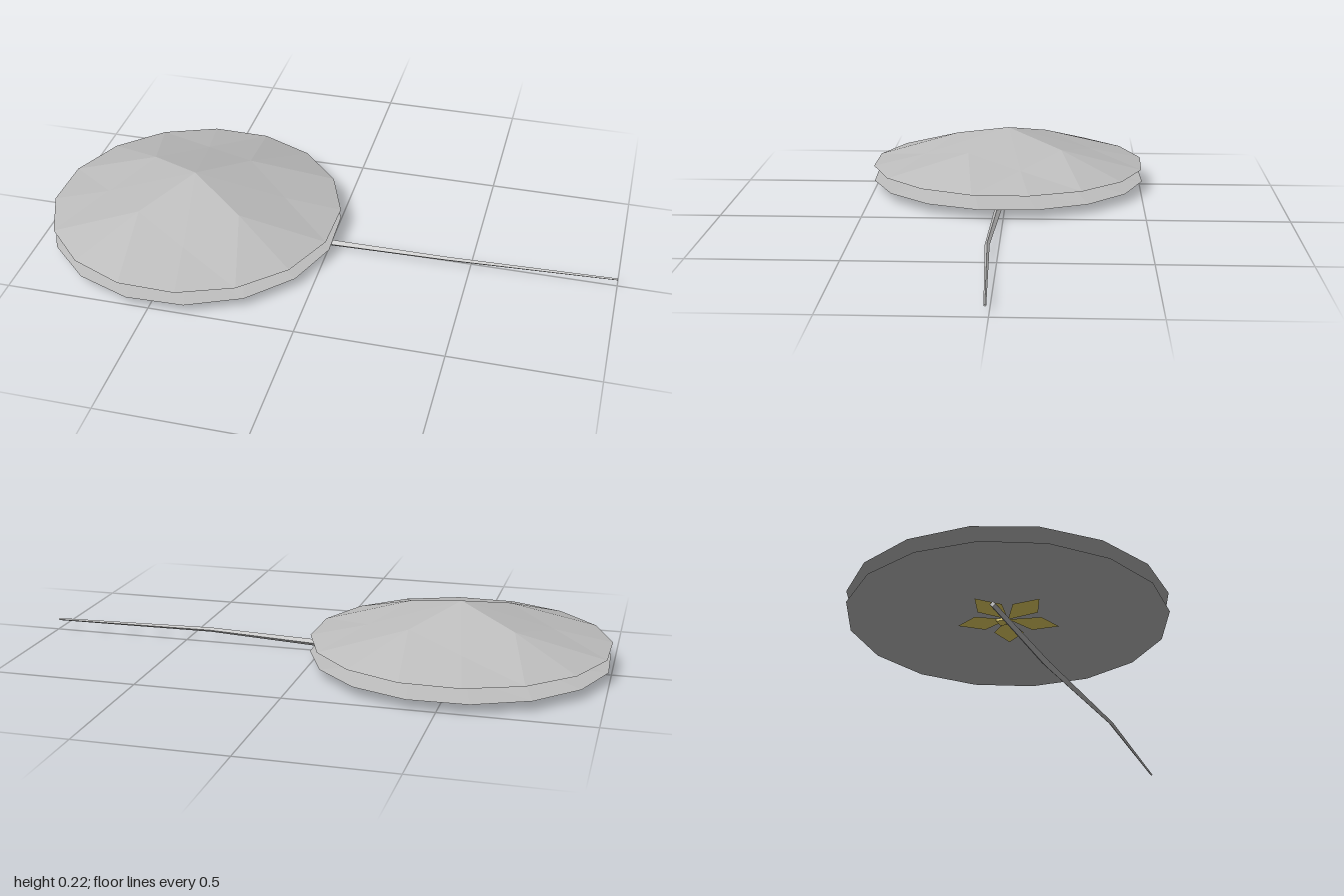
import * as THREE from 'three';

const CX = -0.49, R = 0.512;

function build(tris, material, name) {
  const g = new THREE.BufferGeometry();
  g.setAttribute('position', new THREE.Float32BufferAttribute(tris.flat(2), 3));
  g.computeVertexNormals(); // unshared corners give flat facets
  const m = new THREE.Mesh(g, material);
  m.name = name;
  return m;
}

// Shallow faceted canopy: four ridges, an inner ring of 8 and a rim of 16
function canopy(rimY, height, turn, material, name) {
  const at = (deg, r, h) => {
    const a = THREE.MathUtils.degToRad(deg + turn);
    return [CX + r * Math.cos(a), rimY + h * height, -r * Math.sin(a)];
  };
  const rim = d => at(d, R, 0);
  const ridge = d => at(d, 0.245, 0.6);
  const diag = d => at(d, 0.315, 0.31);
  const apex = at(0, 0, 1), tris = [];
  for (let d = 0; d < 360; d += 90) {
    const a = ridge(d), b = diag(d + 45), c = ridge(d + 90);
    const r = [0, 1, 2, 3, 4].map(i => rim(d + i * 22.5));
    tris.push([apex, a, b], [apex, b, c]);
    tris.push([a, r[0], r[1]], [a, r[1], b]);
    tris.push([b, r[1], r[2]], [b, r[2], r[3]]);
    tris.push([b, r[3], c], [c, r[3], r[4]]);
  }
  return build(tris, material, name);
}

// Five pointed petals, each folded along its middle
function flower(y, material, name) {
  const tris = [];
  for (let i = 0; i < 5; i++) {
    const a = THREE.MathUtils.degToRad(51 + 72 * i);
    const p = (along, side, dy) => [
      CX + along * Math.cos(a) - side * Math.sin(a), y + dy,
      along * Math.sin(a) + side * Math.cos(a)];
    const root = p(0, 0, 0.004), tip = p(0.17, 0, 0.006), mid = p(0.095, 0, -0.002);
    for (const s of [-1, 1]) {
      const edge = p(0.095, s * 0.048, 0.004);
      tris.push([root, mid, edge], [mid, tip, edge]);
    }
  }
  return build(tris, material, name);
}

// Slender bent stem, swept from square sections
function stem(material) {
  const path = [ // x, y, z, radius
    [-0.62, 0.032, 0.002, 0.01], [-0.2, 0.014, 0.016, 0.014],
    [0.42, 0.034, 0.034, 0.008], [1, 0.035, 0.01, 0.004]];
  const rings = path.map(([x, y, z, r]) => [0, 1, 2, 3].map(k => {
    const a = k * Math.PI / 2;
    return [x, y + r * Math.cos(a), z + r * Math.sin(a)];
  }));
  const tris = [];
  for (let i = 0; i < 3; i++) for (let k = 0; k < 4; k++) {
    const n = (k + 1) % 4, A = rings[i], B = rings[i + 1];
    tris.push([A[k], B[n], A[n]], [A[k], B[k], B[n]]);
  }
  const s = rings[0], e = rings[3];
  tris.push([s[0], s[1], s[2]], [s[0], s[2], s[3]], [e[0], e[2], e[1]], [e[0], e[3], e[2]]);
  return build(tris, material, 'stem');
}

export function createModel() {
  const grey = new THREE.MeshStandardMaterial({ color: 0xbebebe, side: THREE.DoubleSide });
  grey.name = 'grey';
  const gold = new THREE.MeshStandardMaterial({ color: 0xe8d262, side: THREE.DoubleSide });
  gold.name = 'gold';

  // Small clasp at the heart of the lower flower
  const clasp = new THREE.Mesh(new THREE.BoxGeometry(0.035, 0.008, 0.035), gold);
  clasp.name = 'clasp';
  clasp.position.set(CX, 0.036, -0.016);

  const model = new THREE.Group();
  model.name = 'parasol';
  model.add(
    canopy(0.086, 0.134, 55, grey, 'upperCanopy'),
    canopy(0.035, 0.05, 58, grey, 'lowerCanopy'),
    flower(0.081, gold, 'upperFlower'),
    flower(0.037, gold, 'lowerFlower'),
    clasp,
    stem(grey));
  return model;
}
